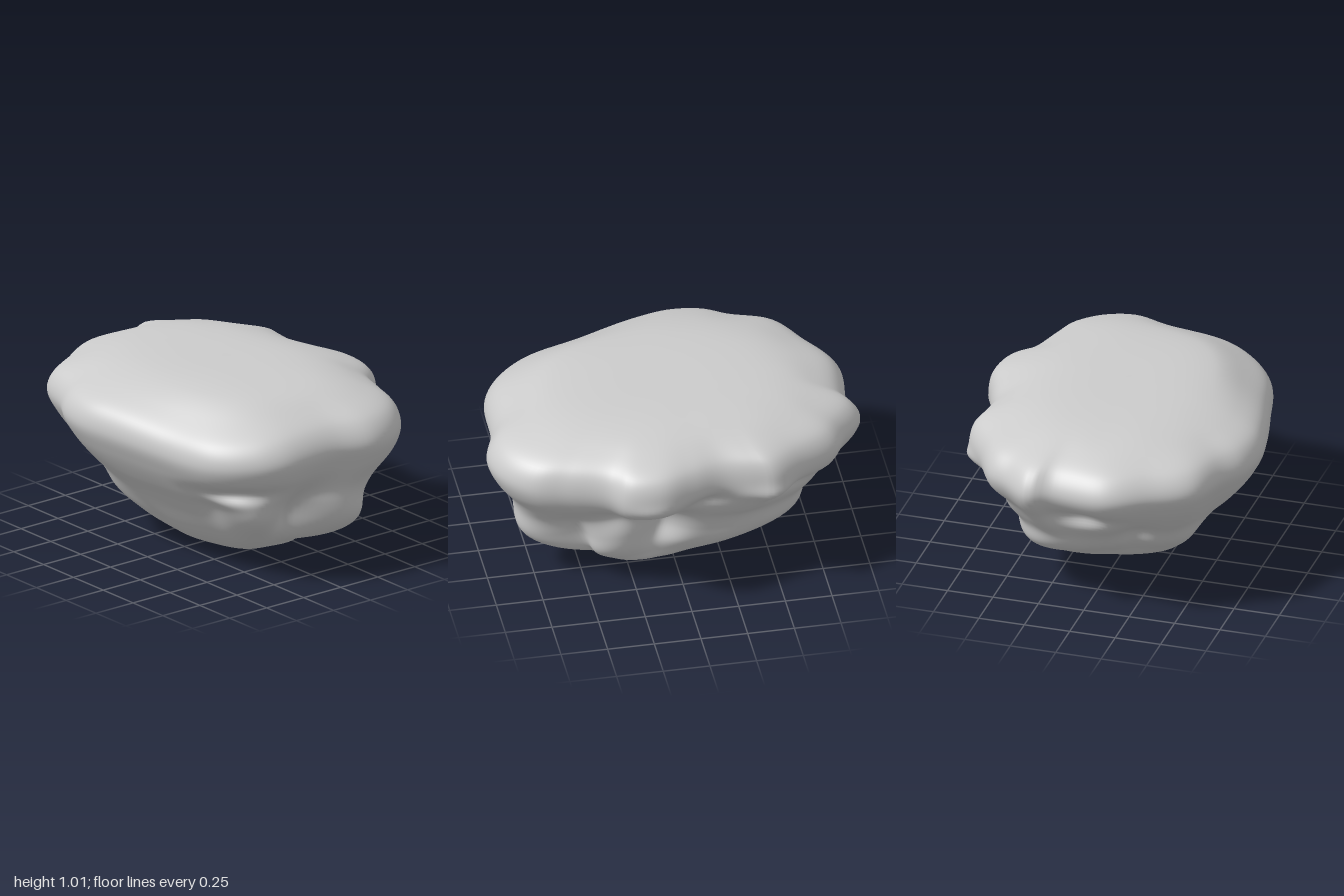
import * as THREE from 'three';

// Rim outline seen from above (x, z), going back -> left (+x) -> front -> right
const OUTLINE = [
  [-0.18, -0.97], [0.13, -0.955], [0.24, -1], [0.39, -0.89], [0.5, -0.82], [0.61, -0.63],
  [0.72, -0.46], [0.71, -0.37], [0.69, -0.18], [0.74, -0.02], [0.8, 0.16], [0.77, 0.34],
  [0.68, 0.44], [0.61, 0.65], [0.55, 0.82], [0.41, 0.95], [0.24, 1], [0.03, 0.94],
  [-0.31, 0.91], [-0.47, 0.82], [-0.6, 0.66], [-0.69, 0.35], [-0.77, 0.03], [-0.8, -0.18],
  [-0.77, -0.36], [-0.69, -0.5], [-0.6, -0.72], [-0.4, -0.85],
];

// Cross-sections from the top centre down: height, outline scale x / z, centre x / z
const SECTIONS = [
  [1.01, 0, 0, 0, 0], [1.005, 0.36, 0.38, 0, 0], [0.985, 0.59, 0.63, 0, 0],
  [0.94, 0.79, 0.8, 0, 0], [0.87, 0.95, 0.94, 0, 0], [0.76, 1, 1, 0, 0],
  [0.64, 0.95, 0.95, 0.01, 0.01], [0.5, 0.82, 0.84, 0, 0.03], [0.4, 0.7, 0.75, -0.01, 0.06],
  [0.3, 0.61, 0.66, 0, 0.07], [0.2, 0.53, 0.54, 0.02, 0.1], [0.13, 0.46, 0.45, 0.03, 0.1],
  [0.07, 0.38, 0.34, 0.05, 0.1], [0.02, 0.23, 0.2, 0.07, 0.12], [0, 0, 0, 0.08, 0.13],
];

// Lobes (+) and hollows (-): angle from +x towards +z, height, angular width, height width, push
const LOBES = [
  [70, 0.27, 16, 0.16, 0.15],    // front hanging lobe
  [70, 0.09, 20, 0.04, -0.05],
  [118, 0.32, 12, 0.12, 0.07],   // second front lobe
  [96, 0.36, 10, 0.16, -0.11],
  [126, 0.56, 15, 0.06, -0.08],
  [139, 0.4, 8, 0.12, -0.04],
  [38, 0.2, 13, 0.12, 0.06],     // corner lobe
  [51, 0.28, 6, 0.16, -0.07],
  [27, 0.47, 19, 0.1, -0.1],
  [4, 0.36, 15, 0.18, -0.13],
  [14, 0.68, 9, 0.05, 0.02],     // rim knuckles
  [-33, 0.67, 9, 0.05, 0.03],
  [-10, 0.62, 10, 0.06, -0.05],
  [-62, 0.28, 26, 0.17, 0.15],   // back hanging lobe
  [-60, 0.07, 30, 0.04, -0.05],
  [-50, 0.59, 11, 0.05, -0.05],
  [-92, 0.58, 12, 0.06, -0.08],
  [-111, 0.38, 9, 0.14, -0.09],
  [-136, 0.24, 16, 0.15, 0.07],  // rear side lobe
];

const angleGap = (a, b) => THREE.MathUtils.euclideanModulo(a - b + 180, 360) - 180;

function lobePush(angle, y) {
  let push = 0;
  for (const [a, h, wa, wh, amount] of LOBES) {
    const da = angleGap(angle, a) / wa, dy = (y - h) / wh;
    push += amount * Math.exp(-da * da - dy * dy);
  }
  return push;
}

// Averages each rim point with its neighbours
function soften(points, reach) {
  return points.map((_, i) => {
    const sum = new THREE.Vector3();
    for (let k = -reach; k <= reach; k++) sum.add(points[(i + k + points.length) % points.length]);
    return sum.divideScalar(2 * reach + 1);
  });
}

function rockGeometry(around = 180, down = 112) {
  const rim = new THREE.CatmullRomCurve3(
    OUTLINE.map(([x, z]) => new THREE.Vector3(x, 0, z)), true, 'centripetal')
    .getSpacedPoints(around).slice(0, around);
  const soft = soften(rim, 9);
  const profile = new THREE.CubicInterpolant(SECTIONS.map((_, i) => i), SECTIONS.flat(), 5);
  const positions = [], index = [];
  for (let j = 0; j <= down; j++) {
    const [y, sx, sz, cx, cz] = profile.evaluate((j / down) * (SECTIONS.length - 1));
    const fade = Math.min(1, Math.max(0, sx) * 3);
    const detail = THREE.MathUtils.smoothstep(sx, 0.6, 0.97);
    for (let i = 0; i < around; i++) {
      const p0 = soft[i].clone().lerp(rim[i], detail);
      const a = Math.atan2(p0.z, p0.x), degrees = THREE.MathUtils.radToDeg(a);
      const push = lobePush(degrees, y) * fade;
      // The rim droops at the front right corner
      const droop = 0.06 * detail * Math.exp(-((angleGap(degrees, 135) / 35) ** 2));
      positions.push(
        cx + p0.x * sx + Math.cos(a) * push,
        Math.max(0, y - droop),
        cz + p0.z * sz + Math.sin(a) * push);
      if (j === down) continue;
      const p = j * around + i, q = j * around + (i + 1) % around;
      if (j > 0) index.push(p, q, p + around);
      if (j < down - 1) index.push(q, q + around, p + around);
    }
  }
  const geometry = new THREE.BufferGeometry();
  geometry.setAttribute('position', new THREE.Float32BufferAttribute(positions, 3));
  geometry.setIndex(index);
  geometry.computeVertexNormals();
  return geometry;
}

export function createModel() {
  const group = new THREE.Group();
  group.name = 'floatingRock';
  const rock = new THREE.Mesh(rockGeometry(), new THREE.MeshStandardMaterial({ color: 0xcccccc }));
  rock.name = 'rock';
  group.add(rock);
  return group;
}
